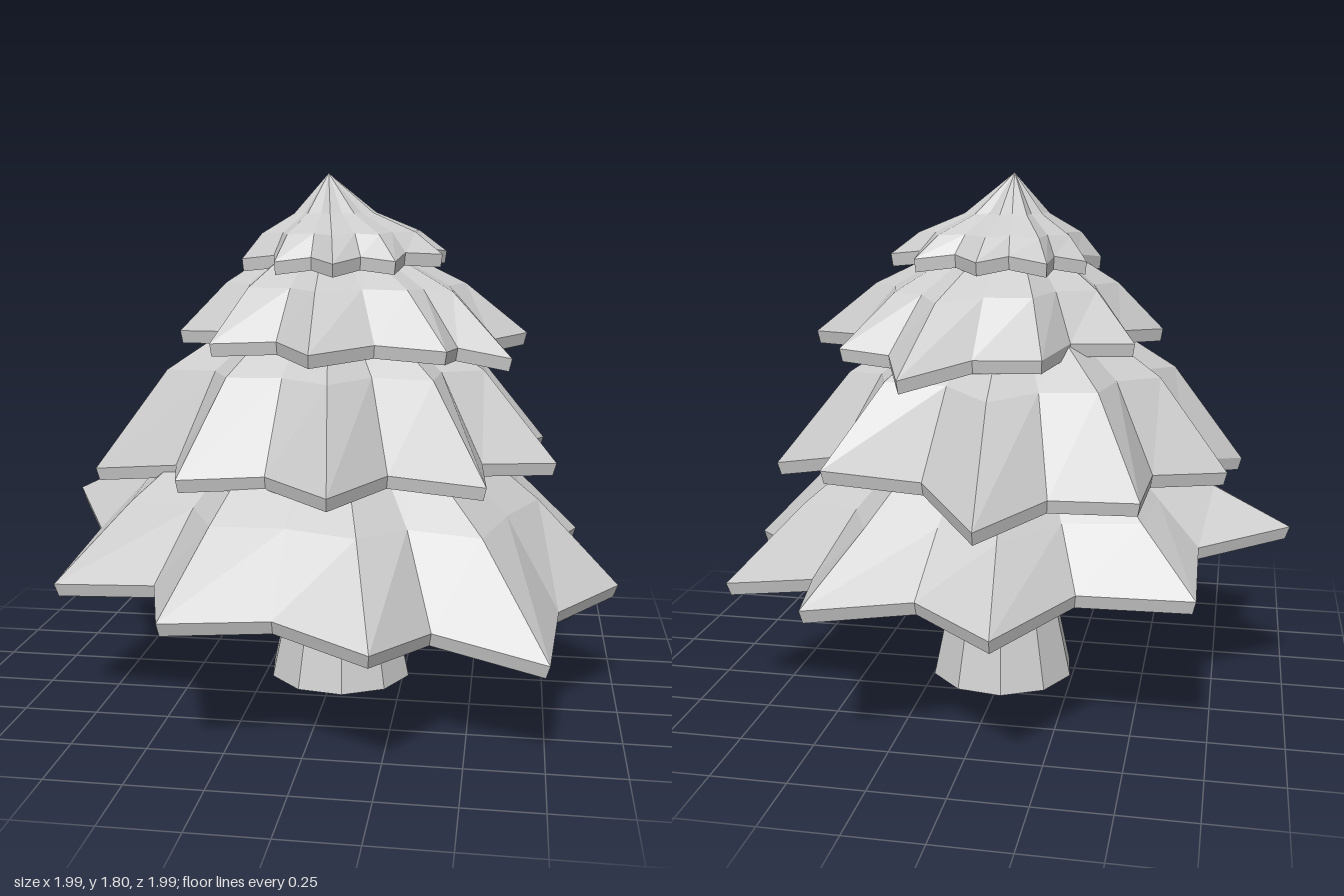
import * as THREE from 'three';

const material = new THREE.MeshStandardMaterial({ color: 0xcccccc, flatShading: true });
const EDGE = 0.043;   // thickness of the branch edge
const AXIS = new THREE.Vector3(-0.035, 0, -0.065); // where the crowns rise to

// Star-shaped canopy: peak, crown rings, rim, thin edge and underside.
// crown holds [fraction of the way to the tips, height];
// angles (degrees), radii, heights and notches give one value per branch tip.
function makeTier({ name, center: [cx, cz], peak, under, crown, angles, radii, heights, notches }) {
  const count = angles.length;
  const meanY = heights.reduce((sum, y) => sum + y, 0) / count;

  const tips = angles.map((degrees, i) => {
    const a = THREE.MathUtils.degToRad(degrees);
    return new THREE.Vector3(cx + radii[i] * Math.cos(a), heights[i], cz + radii[i] * Math.sin(a));
  });

  // Rim outline: each tip followed by its notch
  const rim = tips.flatMap((tip, i) => {
    const notch = tip.clone().lerp(tips[(i + 1) % count], 0.5);
    notch.x = cx + (notch.x - cx) * notches[i];
    notch.z = cz + (notch.z - cz) * notches[i];
    notch.y += 0.015;
    return [tip, notch];
  });

  const ring = (f, heightOf) => rim.map((p, i) => {
    // notches become shallower up the crown
    const k = f < 0.9 && i % 2 ? f * 1.08 : f;
    const q = AXIS.clone().lerp(p, k);
    return [q.x, heightOf(p), q.z];
  });
  const loops = [
    ring(0, () => peak),
    ...crown.map(([f, y]) => ring(f, (p) => y + (p.y - meanY) * 0.4 * f)),
    ring(1, (p) => p.y),
    ring(0.985, (p) => p.y - EDGE),
    ring(0, () => under),
  ];

  // Join neighbouring loops, leaving out the empty triangles at both ends
  const positions = [];
  for (let r = 0; r < loops.length - 1; r++) {
    const upper = loops[r], lower = loops[r + 1];
    for (let j = 0; j < rim.length; j++) {
      const m = (j + 1) % rim.length;
      if (r > 0) positions.push(...upper[j], ...upper[m], ...lower[m]);
      if (r < loops.length - 2) positions.push(...upper[j], ...lower[m], ...lower[j]);
    }
  }
  const geometry = new THREE.BufferGeometry();
  geometry.setAttribute('position', new THREE.Float32BufferAttribute(positions, 3));
  geometry.computeVertexNormals();
  const mesh = new THREE.Mesh(geometry, material);
  mesh.name = name;
  return mesh;
}

// Tapered trunk, closed at the bottom, flaring into the canopy
function makeTrunk() {
  const profile = [[0, 0], [0.26, 0], [0.18, 0.37], [0.2, 0.43], [0.2, 0.55]]
    .map(([r, y]) => new THREE.Vector2(r, y));
  const trunk = new THREE.Mesh(new THREE.LatheGeometry(profile, 10), material);
  trunk.position.set(0.014, 0, -0.023);
  trunk.rotation.y = 0.15;
  trunk.name = 'trunk';
  return trunk;
}

export function createModel() {
  const tree = new THREE.Group();
  tree.name = 'tree';
  const same = (value) => Array(10).fill(value);

  const bottom = makeTier({
    name: 'bottomBranches', center: [0, 0], peak: 1.1, under: 0.48,
    crown: [[0.4, 0.97], [0.73, 0.715]],
    angles: [262.6, 294.9, 330, 8, 46.8, 76.6, 112.8, 150, 187, 224],
    radii: [1.008, 1.07, 1.015, 1.005, 1.1, 1.018, 1.03, 1.015, 1.002, 0.98],
    heights: [0.51, 0.55, 0.44, 0.415, 0.365, 0.44, 0.49, 0.45, 0.63, 0.55],
    notches: [0.84, 0.81, 0.78, 0.9, 0.8, 0.88, 0.8, 0.88, 0.82, 0.81],
  });
  const lowerMiddle = makeTier({
    name: 'lowerMiddleBranches', center: [-0.01, -0.04], peak: 1.45, under: 0.86,
    crown: [[0.36, 1.31], [0.69, 1.14]],
    angles: [267, 303, 337.5, 14.7, 47, 83.7, 123.5, 163.7, 194.6, 231],
    radii: [0.83, 0.84, 0.81, 0.81, 0.82, 0.775, 0.76, 0.85, 0.795, 0.825],
    heights: [0.79, 0.92, 0.83, 0.84, 0.84, 0.83, 0.84, 0.78, 0.84, 0.85],
    notches: [0.79, 0.83, 0.86, 0.8, 0.76, 0.84, 0.8, 0.78, 0.83, 0.83],
  });
  const upperMiddle = makeTier({
    name: 'upperMiddleBranches', center: [0.075, -0.04], peak: 1.63, under: 1.28,
    crown: [[0.34, 1.54], [0.69, 1.42]],
    angles: [241, 284, 314, 354, 27, 53, 98, 136, 167, 201],
    radii: [0.584, 0.63, 0.57, 0.593, 0.608, 0.56, 0.6, 0.608, 0.626, 0.58],
    heights: [1.25, 1.19, 1.25, 1.25, 1.2, 1.24, 1.24, 1.25, 1.26, 1.26],
    notches: same(0.83),
  });
  const top = makeTier({
    name: 'topBranches', center: [0.028, -0.025], peak: 1.8, under: 1.53,
    crown: [[0.4, 1.665], [0.77, 1.6]],
    angles: [239, 270, 306.5, 340, 17.6, 56, 88, 124, 162, 208],
    radii: [0.44, 0.38, 0.373, 0.37, 0.364, 0.37, 0.39, 0.35, 0.36, 0.37],
    heights: [1.53, 1.53, 1.53, 1.53, 1.53, 1.515, 1.51, 1.51, 1.51, 1.52],
    notches: same(0.82),
  });

  tree.add(makeTrunk(), bottom, lowerMiddle, upperMiddle, top);
  return tree;
}
